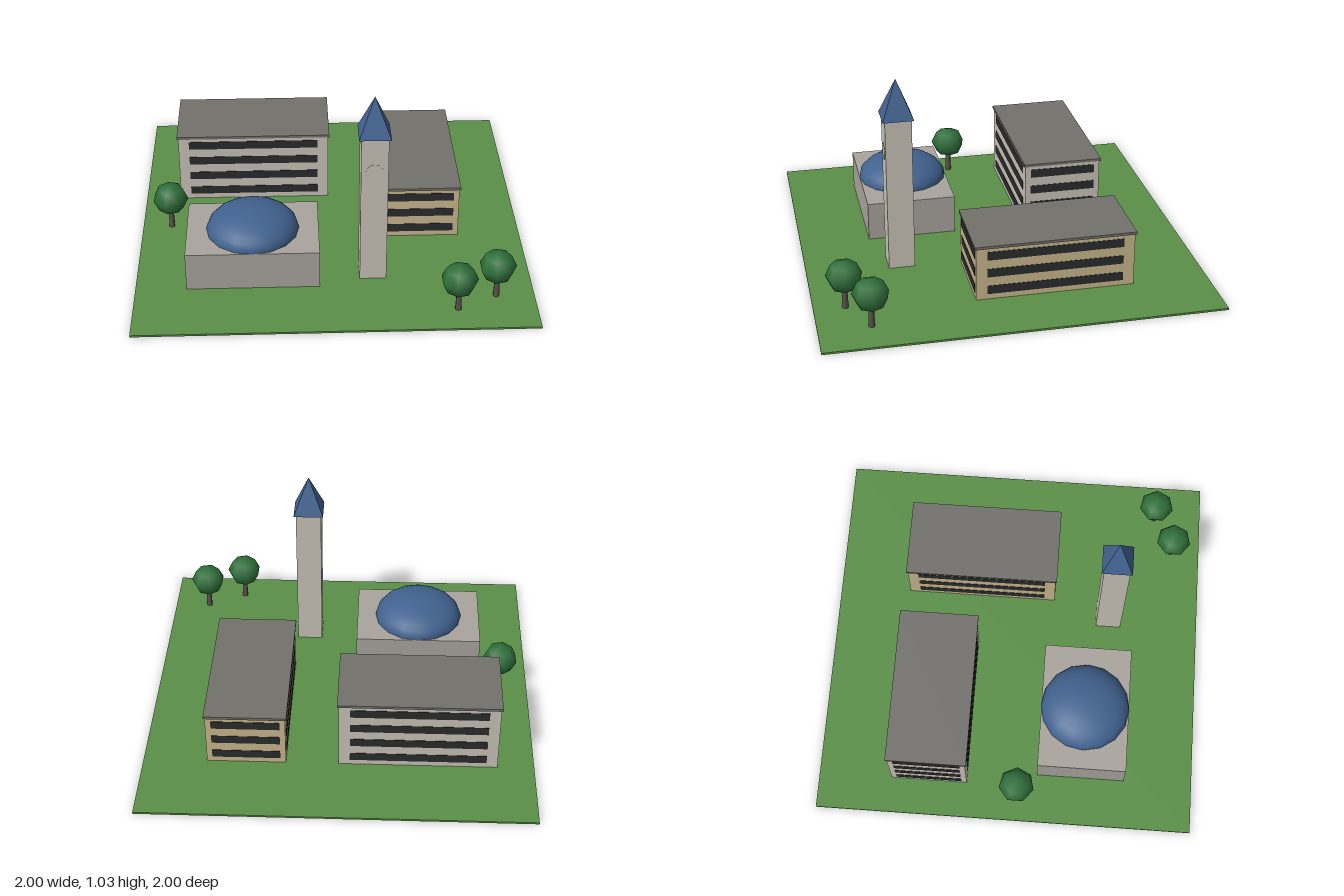
import * as THREE from 'three';

const paint = (name, color) => Object.assign(new THREE.MeshStandardMaterial({ color }), { name });

const mats = {
  grass: paint('grass green', 0x5a8f47),
  stone: paint('pale stone', 0xcac4b8),
  sand: paint('sand brick', 0xcab88e),
  hall: paint('warm grey', 0xa9a49d),
  roof: paint('roof grey', 0x73716c),
  glass: paint('dark glass', 0x2a2b2c),
  blue: paint('slate blue', 0x41628f),
  leaf: paint('leaf green', 0x2f703b),
  bark: paint('bark', 0x5d544d),
};

const GROUND = 0.01;
const FLOOR = 0.0945;

function add(parent, name, geometry, material, x, y, z) {
  const mesh = new THREE.Mesh(geometry, material);
  mesh.name = name;
  mesh.position.set(x, y, z);
  parent.add(mesh);
  return mesh;
}

function group(parent, name, x, z) {
  const g = new THREE.Group();
  g.name = name;
  g.position.set(x, GROUND, z);
  parent.add(g);
  return g;
}

const box = (w, h, d) => new THREE.BoxGeometry(w, h, d);

// Flat-roofed block with a ribbon window on all four sides of every floor
function block(parent, name, x, z, w, d, floors, wall) {
  const g = group(parent, name, x, z);
  const h = floors * FLOOR;
  add(g, 'walls', box(w, h, d), wall, 0, h / 2, 0);
  add(g, 'roofSlab', box(w + 0.014, 0.014, d + 0.014), mats.roof, 0, h + 0.007, 0);
  const t = 0.004;
  for (let i = 0; i < floors; i++) {
    const y = (i + 0.545) * FLOOR;
    for (const s of [-1, 1]) {
      add(g, 'ribbonWindow', box(w * 0.86, 0.046, t), mats.glass, 0, y, s * d / 2);
      add(g, 'ribbonWindow', box(t, 0.046, d * 0.86), mats.glass, s * w / 2, y, 0);
    }
  }
}

// Low hall carrying a flattened dome
function domedHall(parent, x, z) {
  const g = group(parent, 'domedHall', x, z);
  const h = 0.206;
  add(g, 'hallWalls', box(0.672, h, 0.467), mats.hall, 0, h / 2, 0);
  const dome = new THREE.SphereGeometry(0.236, 16, 8, 0, Math.PI * 2, 0, Math.PI / 2);
  dome.scale(1, 0.51, 1);
  add(g, 'dome', dome, mats.blue, 0, h, 0);
}

// Square tower with a pyramid spire and a round dial on the front
function tower(parent, x, z) {
  const g = group(parent, 'tower', x, z);
  const h = 0.82;
  const w = 0.135;
  add(g, 'shaft', box(w, h, w), mats.stone, 0, h / 2, 0);
  const spire = new THREE.ConeGeometry(0.158 / Math.SQRT2, 0.2, 4).toNonIndexed();
  spire.rotateY(Math.PI / 4);
  spire.computeVertexNormals();
  add(g, 'spire', spire, mats.blue, 0, h + 0.1, 0);
  const dial = new THREE.CylinderGeometry(0.044, 0.044, 0.004, 16).rotateX(Math.PI / 2);
  add(g, 'dial', dial, mats.stone, 0, 0.635, w / 2);
}

// Small tree with a seven-sided crown
function tree(parent, x, z) {
  const g = group(parent, 'tree', x, z);
  add(g, 'trunk', new THREE.CylinderGeometry(0.013, 0.017, 0.12, 6), mats.bark, 0, 0.06, 0);
  const crown = new THREE.SphereGeometry(0.094, 7, 4);
  crown.scale(1, 0.89, 1).rotateY(Math.PI);
  add(g, 'crown', crown, mats.leaf, 0, 0.177, 0);
}

export function createModel() {
  const model = new THREE.Group();
  model.name = 'campus';
  add(model, 'lawn', box(2, GROUND, 2), mats.grass, 0, GROUND / 2, 0);

  block(model, 'rearBuilding', -0.407, -0.407, 0.81, 0.405, 4, mats.stone);
  block(model, 'sideBuilding', 0.47, -0.205, 0.405, 0.81, 3, mats.sand);
  domedHall(model, -0.407, 0.402);
  tower(model, 0.2, 0.508);

  for (const [x, z] of [[-0.847, 0.065], [0.606, 0.842], [0.807, 0.738]]) tree(model, x, z);
  return model;
}
